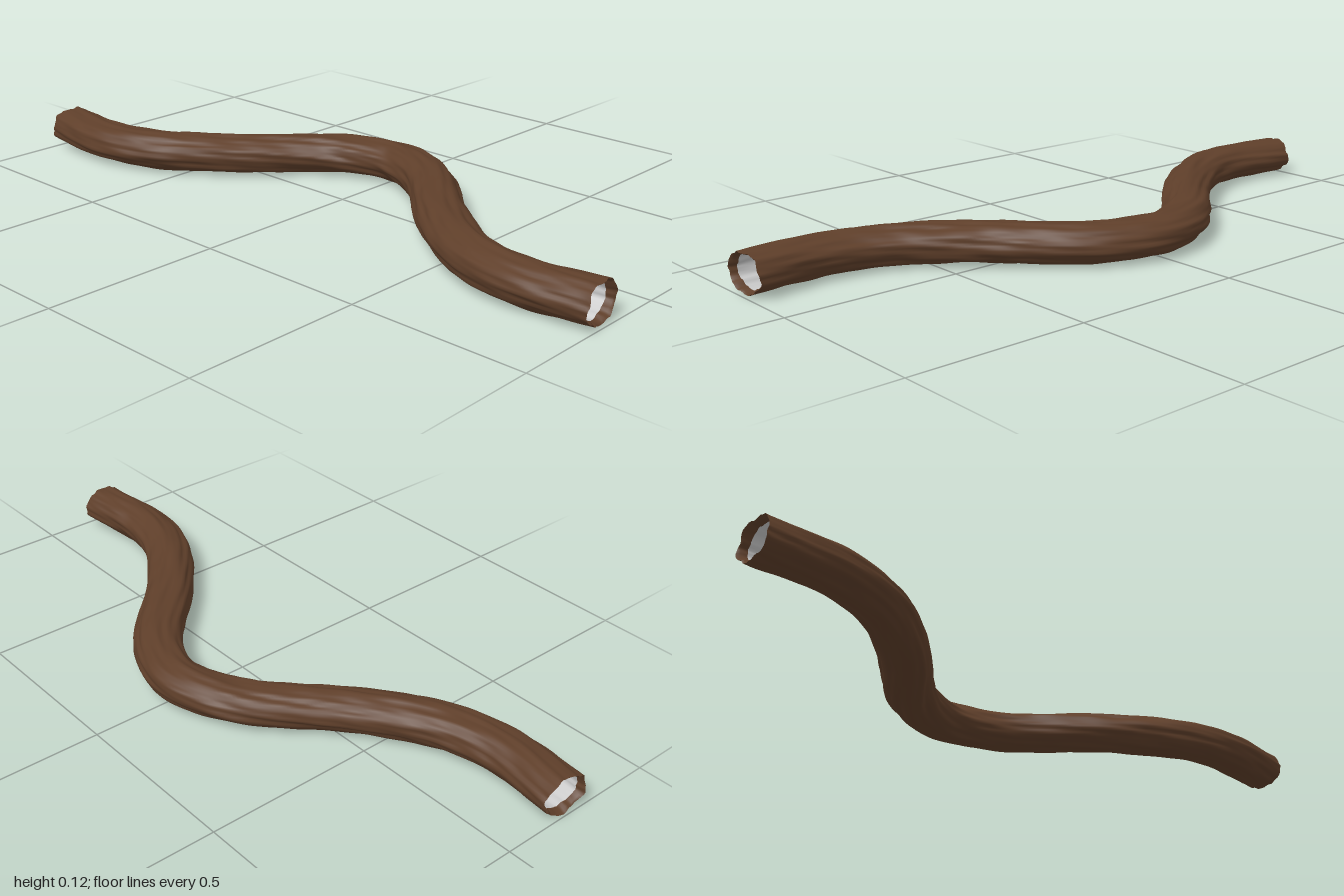
import * as THREE from 'three';

const ROWS = 220, SIDES = 56;
const HALF_WIDTH = 0.07, HALF_HEIGHT = 0.0545, MID_Y = 0.058;

// Centre line as x, z pairs for one half, mirrored for the other
const half = [[0.1, -0.205], [0.2, -0.148], [0.4, 0.042], [0.6, 0.18], [0.77, 0.222], [0.992, 0.203]];
const line = [...half.map(([x, z]) => [-x, z]).reverse(), [0, -0.228], ...half];
const curve = new THREE.CatmullRomCurve3(line.map(([x, z]) => new THREE.Vector3(x, MID_Y, z)));

// Lengthwise, slowly twisting bark ridges; periodic in the angle a, t runs 0..1 along the branch
function barkRelief(a, t) {
  const twist = a + 2.2 * t;
  const wave = Math.sin(11 * t + 1.3);
  return 0.0020 * Math.sin(5 * twist + 4 * wave)
    + 0.0015 * Math.sin(11 * twist - 9 * t + 2 * Math.sin(17 * t))
    + 0.0011 * Math.sin(17 * twist + 14 * t + 1.5 * wave)
    + 0.0012 * Math.sin(3 * a + 70 * t) * Math.sin(47 * t + 2 * a);
}

// Skin over oval rings, each given as [t, inset]; running back along t turns the skin inwards
function loft(rings) {
  const points = [], index = [];
  rings.forEach(([t, inset], i) => {
    const centre = curve.getPointAt(t);
    const tangent = curve.getTangentAt(t);
    for (let j = 0; j < SIDES; j++) {
      const a = (j / SIDES) * Math.PI * 2;
      const relief = barkRelief(a, t) - inset;
      const s = Math.cos(a) * (HALF_WIDTH + relief);
      // Slightly ragged open ends
      const ragged = t === 0 || t === 1 ? 0.003 * Math.sin(5 * a) : 0;
      points.push(
        centre.x - tangent.z * s + tangent.x * ragged,
        centre.y + Math.sin(a) * (HALF_HEIGHT + relief),
        centre.z + tangent.x * s + tangent.z * ragged);
      if (i === 0) continue;
      const here = i * SIDES + j, next = i * SIDES + (j + 1) % SIDES;
      index.push(here - SIDES, here, next - SIDES, here, next, next - SIDES);
    }
  });
  const geometry = new THREE.BufferGeometry();
  geometry.setAttribute('position', new THREE.Float32BufferAttribute(points, 3));
  geometry.setIndex(index);
  geometry.computeVertexNormals();
  return geometry;
}

export function createModel() {
  const group = new THREE.Group();
  group.name = 'windingBranch';

  const bark = new THREE.MeshStandardMaterial({ color: 0x5f3f2a });
  bark.name = 'bark brown';
  const pale = new THREE.MeshStandardMaterial({ color: 0xcccccc });
  pale.name = 'pale grey';

  const add = (name, rings, material) => {
    const mesh = new THREE.Mesh(loft(rings), material);
    mesh.name = name;
    group.add(mesh);
  };

  // Outer bark
  add('barkTube', Array.from({ length: ROWS + 1 }, (_, i) => [i / ROWS, 0]), bark);

  // Bark folded in around each open end, then a short pale lining
  const lip = [[0.01, 0.008], [0.003, 0.005], [0, 0]];
  const lining = [[0.042, 0.003], [0.026, 0.006], [0.01, 0.008]];
  const farEnd = (rings) => rings.map(([t, inset]) => [1 - t, inset]).reverse();
  add('rightLip', lip, bark);
  add('leftLip', farEnd(lip), bark);
  add('rightLining', lining, pale);
  add('leftLining', farEnd(lining), pale);
  return group;
}
